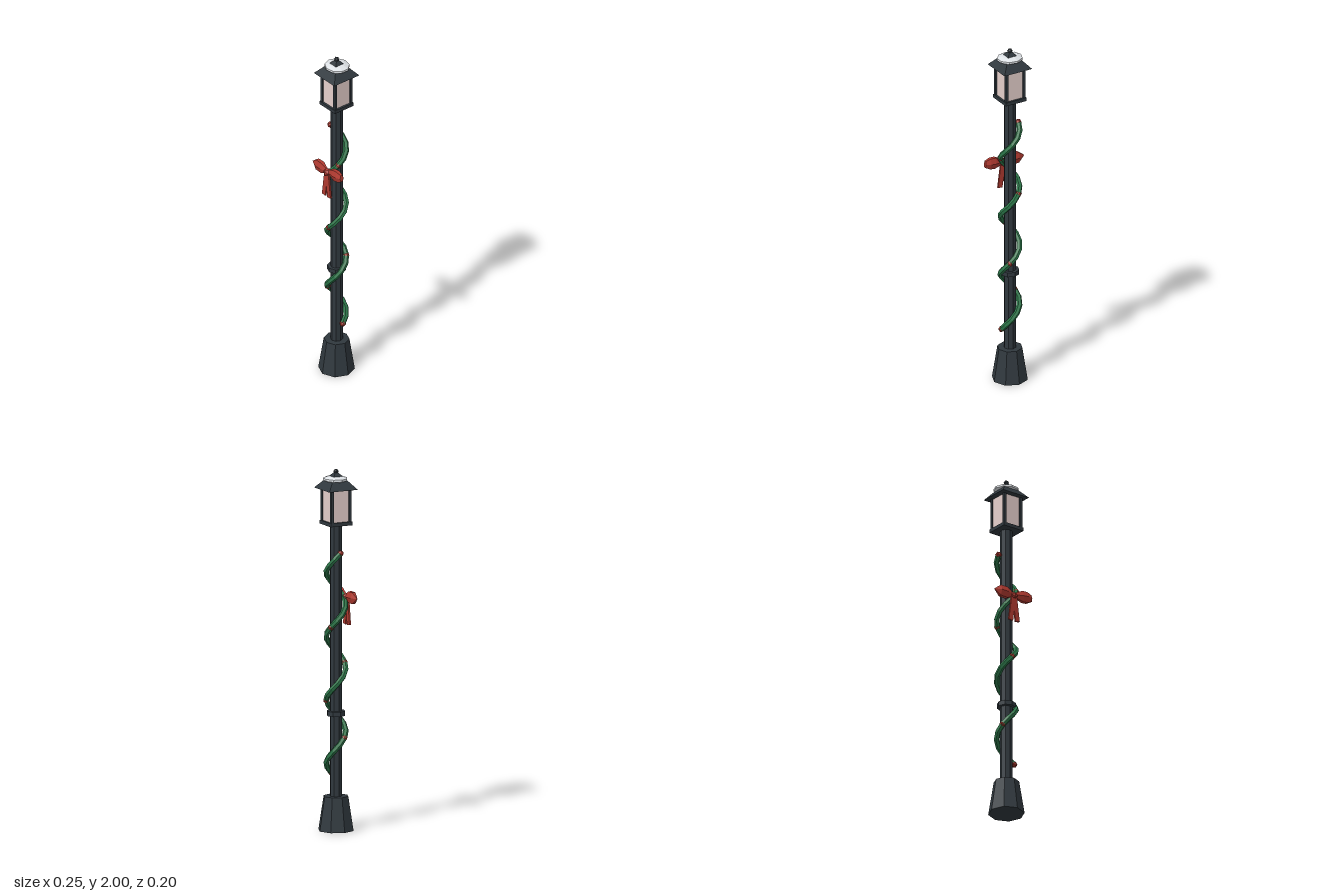
import * as THREE from 'three';

const mat = (name, color, flatShading = true) => {
  const m = new THREE.MeshStandardMaterial({ color, flatShading });
  m.name = name;
  return m;
};

export function createModel() {
  const iron = mat('iron', 0x30383e);
  const glass = mat('frosted glass', 0xe6d0cc);
  const snowWhite = mat('snow', 0xe6eaee);
  const green = mat('garland green', 0x2b7548);
  const red = mat('ribbon red', 0xb03a30);

  const root = new THREE.Group();
  root.name = 'lampPost';
  const model = new THREE.Group();
  model.name = 'lamp';
  model.position.x = 0.004;
  root.add(model);

  const add = (name, geo, material, x = 0, y = 0, z = 0, parent = model) => {
    const m = new THREE.Mesh(geo, material);
    m.name = name;
    m.position.set(x, y, z);
    parent.add(m);
    return m;
  };

  // Octagonal base, post and collar
  add('base', new THREE.CylinderGeometry(0.07, 0.1, 0.19, 8), iron, 0, 0.095);
  add('post', new THREE.CylinderGeometry(0.034, 0.034, 1.52, 8), iron, 0, 0.94);
  add('collar', new THREE.CylinderGeometry(0.052, 0.052, 0.026, 8), iron, 0, 0.648);

  // Lantern: floor plate, glass, corner bars, top plate
  add('lanternFloor', new THREE.BoxGeometry(0.132, 0.02, 0.132), iron, 0, 1.702);
  add('lanternGlass', new THREE.BoxGeometry(0.108, 0.18, 0.108), glass, 0, 1.8);
  for (const sx of [-1, 1]) for (const sz of [-1, 1]) {
    add('lanternBar', new THREE.BoxGeometry(0.015, 0.18, 0.015), iron, sx * 0.0545, 1.8, sz * 0.0545);
  }

  // Four-sided roof and finial
  const roof = add('roof', new THREE.CylinderGeometry(0.006, 0.088 * Math.SQRT2, 0.095, 4), iron, 0, 1.9375);
  roof.rotation.y = Math.PI / 4;
  add('finial', new THREE.IcosahedronGeometry(0.015, 0), iron, 0, 1.986);

  // Uneven snow cap pierced by the roof ridges
  const snow = add('snowCap', new THREE.SphereGeometry(0.073, 9, 5), snowWhite, 0.002, 1.943, -0.002);
  snow.scale.set(1.04, 0.26, 0.96);

  // Garland winding up the post
  const turns = 3.5, y0 = 0.31, y1 = 1.54;
  const helix = (t, r = 0.053) => {
    const a = t * turns * Math.PI * 2;
    return new THREE.Vector3(Math.cos(a) * r, y0 + (y1 - y0) * t, -Math.sin(a) * r);
  };
  const points = [];
  for (let i = 0; i <= 42; i++) points.push(helix(i / 42));
  const path = new THREE.CatmullRomCurve3(points);
  add('garland', new THREE.TubeGeometry(path, 36, 0.016, 6), green);

  // Berries spaced evenly along the garland
  for (let i = 0; i <= 6; i++) {
    const p = helix(i / 6);
    add('berry', new THREE.IcosahedronGeometry(0.0185, 0), red, p.x, p.y, p.z);
  }

  // Bow: two faceted loops, a knot and two tails
  const bow = new THREE.Group();
  bow.name = 'bow';
  bow.position.set(0, 1.29, 0.062);
  model.add(bow);
  const loop = (name, profile, side, tilt) => {
    const pts = profile.map(([r, d]) => new THREE.Vector2(r, d));
    const geo = new THREE.LatheGeometry(pts, 6);
    geo.scale(1, 1, 0.56);
    geo.rotateZ(-side * Math.PI / 2);
    add(name, geo, red, 0, 0, 0, bow).rotation.z = tilt;
  };
  loop('leftLoop', [[0, 0], [0.014, 0.005], [0.037, 0.06], [0.036, 0.092], [0.022, 0.121], [0, 0.122]], 1, 0.09);
  loop('rightLoop', [[0, 0], [0.014, 0.005], [0.037, 0.045], [0.036, 0.09], [0, 0.13]], -1, -0.03);
  add('knot', new THREE.IcosahedronGeometry(0.024, 0), red, 0, -0.005, 0.002, bow);
  for (const s of [-1, 1]) {
    const geo = new THREE.BoxGeometry(0.028, 0.145, 0.01);
    geo.translate(0, -0.0725, 0);
    const tail = add('ribbonTail', geo, red, s * 0.004, -0.013, 0.006, bow);
    tail.rotation.z = s * 0.13;
  }

  return root;
}
